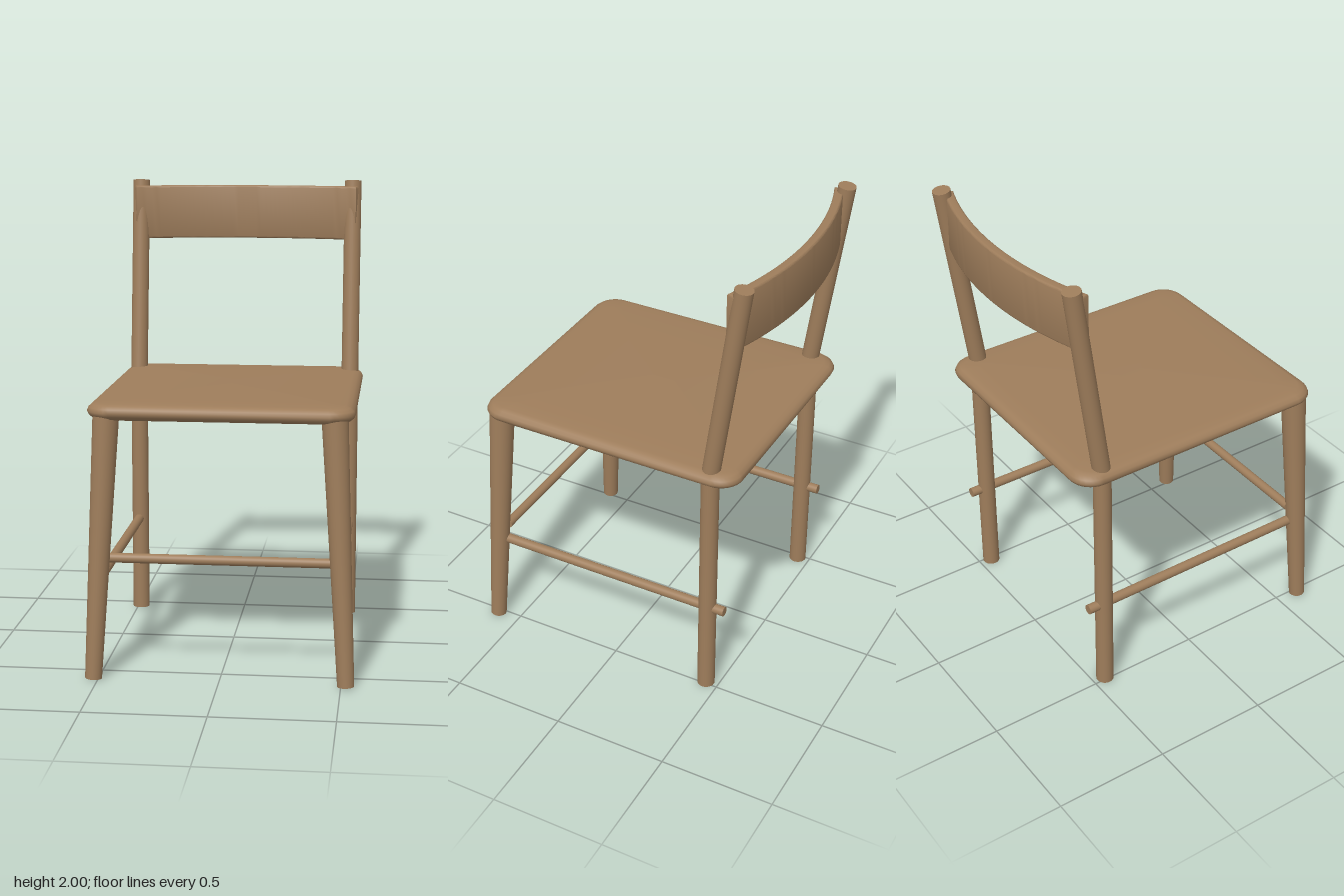
import * as THREE from 'three';
import { toCreasedNormals } from 'three/addons/utils/BufferGeometryUtils.js';

const wood = new THREE.MeshStandardMaterial({ color: 0x9e7d5b });
wood.name = 'wood';

function part(name, geometry) {
  const mesh = new THREE.Mesh(geometry, wood);
  mesh.name = name;
  return mesh;
}

// Round bar between two points, with its own radius at each end
function bar(name, from, to, rFrom, rTo = rFrom) {
  const a = new THREE.Vector3(...from), b = new THREE.Vector3(...to);
  const dir = b.clone().sub(a);
  const mesh = part(name, new THREE.CylinderGeometry(rTo, rFrom, dir.length(), 28));
  mesh.position.copy(a).add(b).multiplyScalar(0.5);
  mesh.quaternion.setFromUnitVectors(new THREE.Vector3(0, 1, 0), dir.normalize());
  return mesh;
}

// Seat: rounded rectangles stacked from top centre, around the rim, to bottom centre
function seatGeometry() {
  const halfW = 0.545, halfD = 0.597, zMid = 0.022, yMid = 1.113, corner = 0.1, steps = 8;
  const upper = [[0.545, 0.045], [0.35, 0.044], [0.2, 0.04], [0.1, 0.036],
    [0.04, 0.033], [0.02, 0.027], [0.006, 0.015]];
  const lower = upper.map(([inset, y]) => [inset, -y]).reverse();
  const profile = [...upper, [0, 0], ...lower];
  const positions = [], index = [];
  const count = 4 * (steps + 1);
  profile.forEach(([inset, y]) => {
    const w = halfW - inset, d = halfD - inset;
    const r = Math.min(Math.max(corner - inset * 0.6, 0.03), w);
    for (let q = 0; q < 4; q++) {
      const sx = q === 0 || q === 3 ? 1 : -1, sz = q < 2 ? 1 : -1;
      for (let s = 0; s <= steps; s++) {
        const t = (q + s / steps) * Math.PI / 2;
        positions.push(sx * (w - r) + r * Math.cos(t), yMid + y,
          zMid + sz * (d - r) + r * Math.sin(t));
      }
    }
  });
  for (let i = 0; i < profile.length - 1; i++) {
    for (let j = 0; j < count; j++) {
      const k = (j + 1) % count;
      const a = i * count + j, b = i * count + k, c = a + count, d = b + count;
      index.push(a, b, c, b, d, c);
    }
  }
  const g = new THREE.BufferGeometry();
  g.setAttribute('position', new THREE.Float32BufferAttribute(positions, 3));
  g.setIndex(index);
  g.computeVertexNormals();
  return g;
}

// Back slat: an arc band seen from above, extruded upward with softened edges
function slatGeometry() {
  const radius = 1.46, half = 0.35, thick = 0.012, bevel = 0.008, centre = 0.62 - radius;
  const shape = new THREE.Shape();
  shape.absarc(0, centre, radius + thick, Math.PI / 2 - half, Math.PI / 2 + half, false);
  shape.absarc(0, centre, radius - thick, Math.PI / 2 + half, Math.PI / 2 - half, true);
  shape.closePath();
  const g = new THREE.ExtrudeGeometry(shape, {
    depth: 0.24 - 2 * bevel, curveSegments: 24,
    bevelSize: bevel, bevelThickness: bevel, bevelSegments: 3,
  });
  g.rotateX(-Math.PI / 2);
  g.translate(0, 1.73 + bevel, 0);
  return toCreasedNormals(g, 0.7);
}

export function createModel() {
  const chair = new THREE.Group();
  chair.name = 'chair';
  chair.add(part('seat', seatGeometry()), part('backSlat', slatGeometry()));

  // Legs, back posts and side rungs, mirrored left and right
  for (const [side, s] of [['left', 1], ['right', -1]]) {
    chair.add(
      bar(side + 'FrontLeg', [s * 0.52, 0.003, 0.605], [s * 0.463, 1.1, 0.552], 0.035, 0.054),
      bar(side + 'BackLeg', [s * 0.486, 0, -0.443], [s * 0.486, 1.11, -0.447], 0.038),
      bar(side + 'BackPost', [s * 0.486, 1.11, -0.447], [s * 0.486, 1.994, -0.573], 0.038),
      bar(side + 'SideRung', [s * 0.488, 0.43, 0.57], [s * 0.488, 0.43, -0.525], 0.021),
    );
  }

  // Rung between the front legs
  chair.add(bar('frontRung', [-0.48, 0.502, 0.55], [0.48, 0.502, 0.55], 0.02));
  return chair;
}
